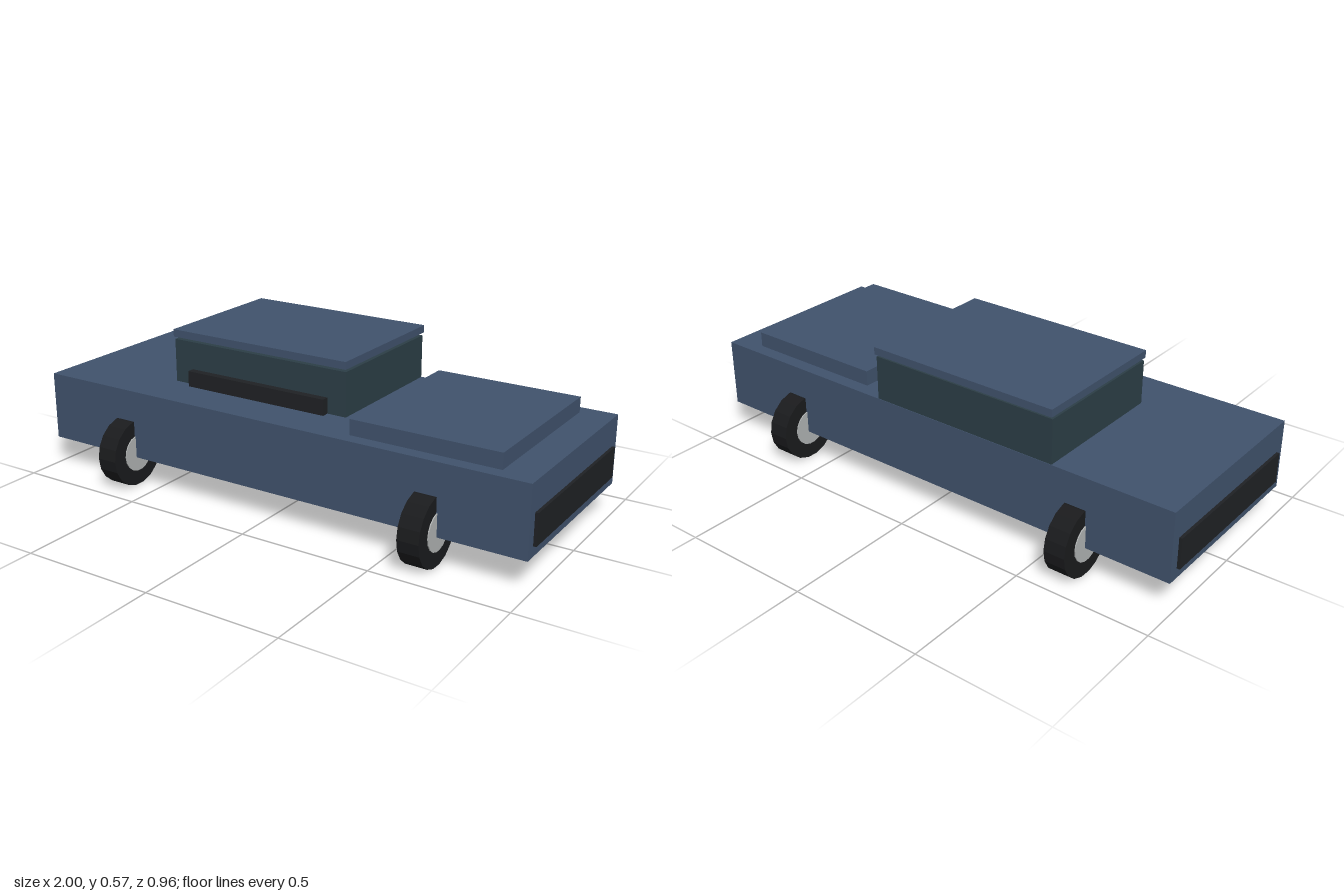
import * as THREE from 'three';

const material = (color) => new THREE.MeshStandardMaterial({ color, flatShading: true });

export function createModel() {
  const car = new THREE.Group();
  car.name = 'car';
  const paint = material(0x40526c);
  const glass = material(0x2c3e46);
  const trim = material(0x1f2124);
  const rubber = material(0x1a1b1d);
  const metal = material(0xb0b3b3);

  // Box given by its extents along each axis
  const box = (name, mat, [x0, x1], [y0, y1], [z0, z1]) => {
    const mesh = new THREE.Mesh(new THREE.BoxGeometry(x1 - x0, y1 - y0, z1 - z0), mat);
    mesh.position.set((x0 + x1) / 2, (y0 + y1) / 2, (z0 + z1) / 2);
    mesh.name = name;
    car.add(mesh);
  };

  // Bodywork
  box('body', paint, [-0.989, 0.989], [0.113, 0.372], [-0.366, 0.366]);
  box('hood', paint, [0.314, 0.868], [0.36, 0.429], [-0.315, 0.315]);
  box('cabin', glass, [-0.534, 0.214], [0.36, 0.536], [-0.364, 0.178]);
  box('roof', paint, [-0.536, 0.216], [0.546, 0.574], [-0.372, 0.184]);
  box('sideVent', trim, [-0.455, 0.139], [0.365, 0.431], [0.17, 0.206]);

  // Dark panels at both ends
  box('leftEndPanel', trim, [0.98, 1], [0.151, 0.265], [-0.33, 0.33]);
  box('rightEndPanel', trim, [-1, -0.98], [0.151, 0.265], [-0.33, 0.33]);

  // Wheels, axles running along x, with hubs just proud of the tyres
  const tyre = new THREE.CylinderGeometry(0.127, 0.127, 0.08, 18).rotateZ(Math.PI / 2);
  const hub = new THREE.CylinderGeometry(0.07, 0.07, 0.088, 18).rotateZ(Math.PI / 2);
  for (const x of [-0.631, 0.631]) {
    for (const z of [-0.352, 0.352]) {
      const wheel = new THREE.Group();
      wheel.name = `${z > 0 ? 'front' : 'back'}${x > 0 ? 'Left' : 'Right'}Wheel`;
      const tyreMesh = new THREE.Mesh(tyre, rubber);
      tyreMesh.name = 'tyre';
      const hubMesh = new THREE.Mesh(hub, metal);
      hubMesh.name = 'hub';
      wheel.add(tyreMesh, hubMesh);
      wheel.position.set(x, 0.128, z);
      car.add(wheel);
    }
  }
  return car;
}
